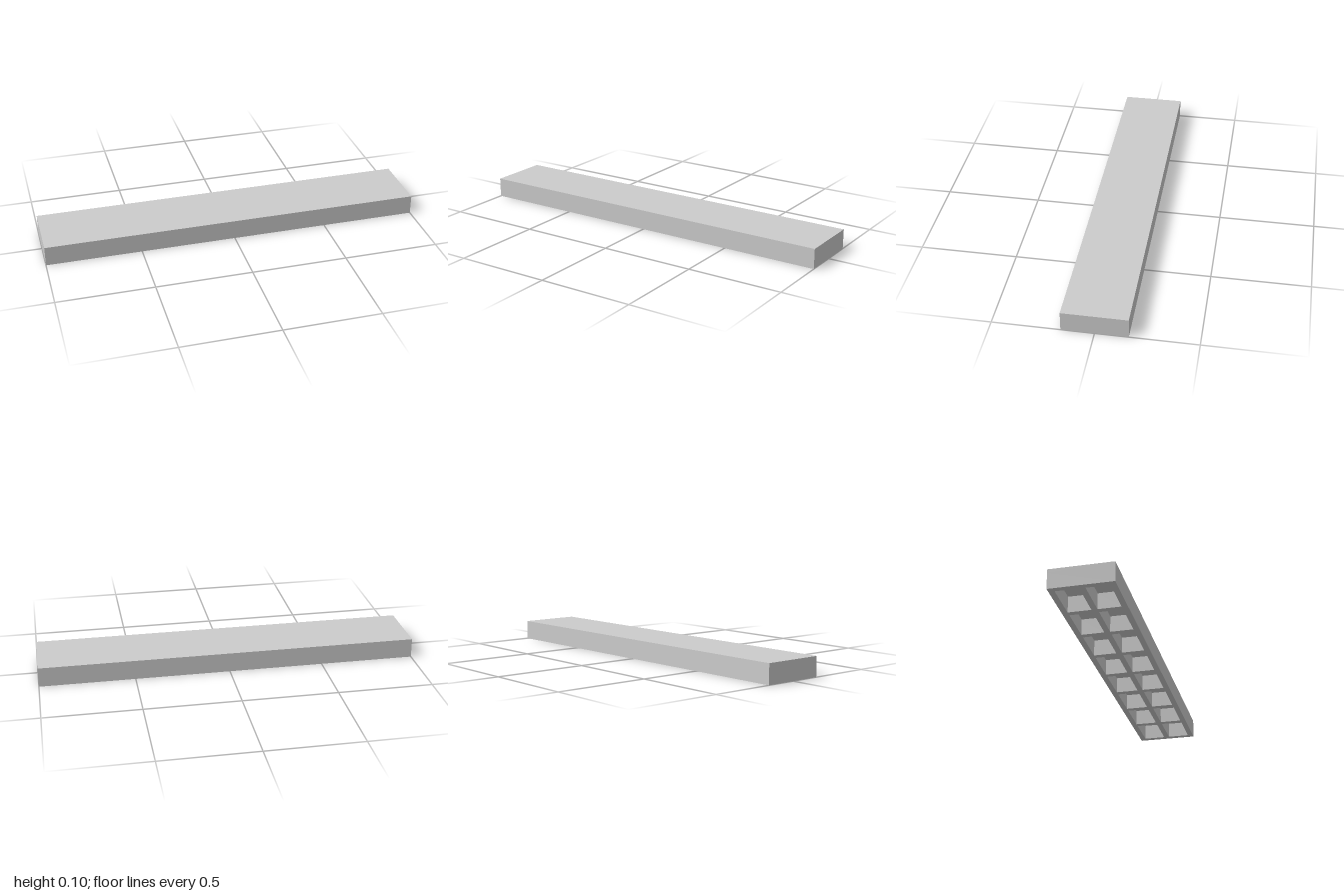
import * as THREE from 'three';

const LENGTH = 2, WIDTH = 0.327, HEIGHT = 0.104;
const WALL = 0.03, TOP = 0.018;
const COLUMNS = 8, ROWS = 2;

// Adds a closed rectangle to a shape or hole path
function rectangle(path, x, y, w, h) {
  path.moveTo(x, y);
  path.lineTo(x + w, y);
  path.lineTo(x + w, y + h);
  path.lineTo(x, y + h);
  path.closePath();
  return path;
}

export function createModel() {
  const group = new THREE.Group();
  group.name = 'ribbedPlank';
  const material = new THREE.MeshStandardMaterial({ color: 0xcccccc, flatShading: true });

  // Flat deck closing the top
  const deck = new THREE.Mesh(new THREE.BoxGeometry(LENGTH, TOP, WIDTH), material);
  deck.name = 'deck';
  deck.position.y = HEIGHT - TOP / 2;
  group.add(deck);

  // Outer walls and ribs: a plate pierced by two rows of pockets, open below
  const outline = rectangle(new THREE.Shape(), -LENGTH / 2, -WIDTH / 2, LENGTH, WIDTH);
  const pocketW = (LENGTH - WALL * (COLUMNS + 1)) / COLUMNS;
  const pocketD = (WIDTH - WALL * (ROWS + 1)) / ROWS;
  for (let row = 0; row < ROWS; row++) {
    for (let col = 0; col < COLUMNS; col++) {
      const x = -LENGTH / 2 + WALL + col * (pocketW + WALL);
      const y = -WIDTH / 2 + WALL + row * (pocketD + WALL);
      outline.holes.push(rectangle(new THREE.Path(), x, y, pocketW, pocketD));
    }
  }
  const frameGeometry = new THREE.ExtrudeGeometry(outline, { depth: HEIGHT - TOP, bevelEnabled: false });
  frameGeometry.rotateX(-Math.PI / 2);
  const frame = new THREE.Mesh(frameGeometry, material);
  frame.name = 'wallsAndRibs';
  group.add(frame);

  return group;
}
